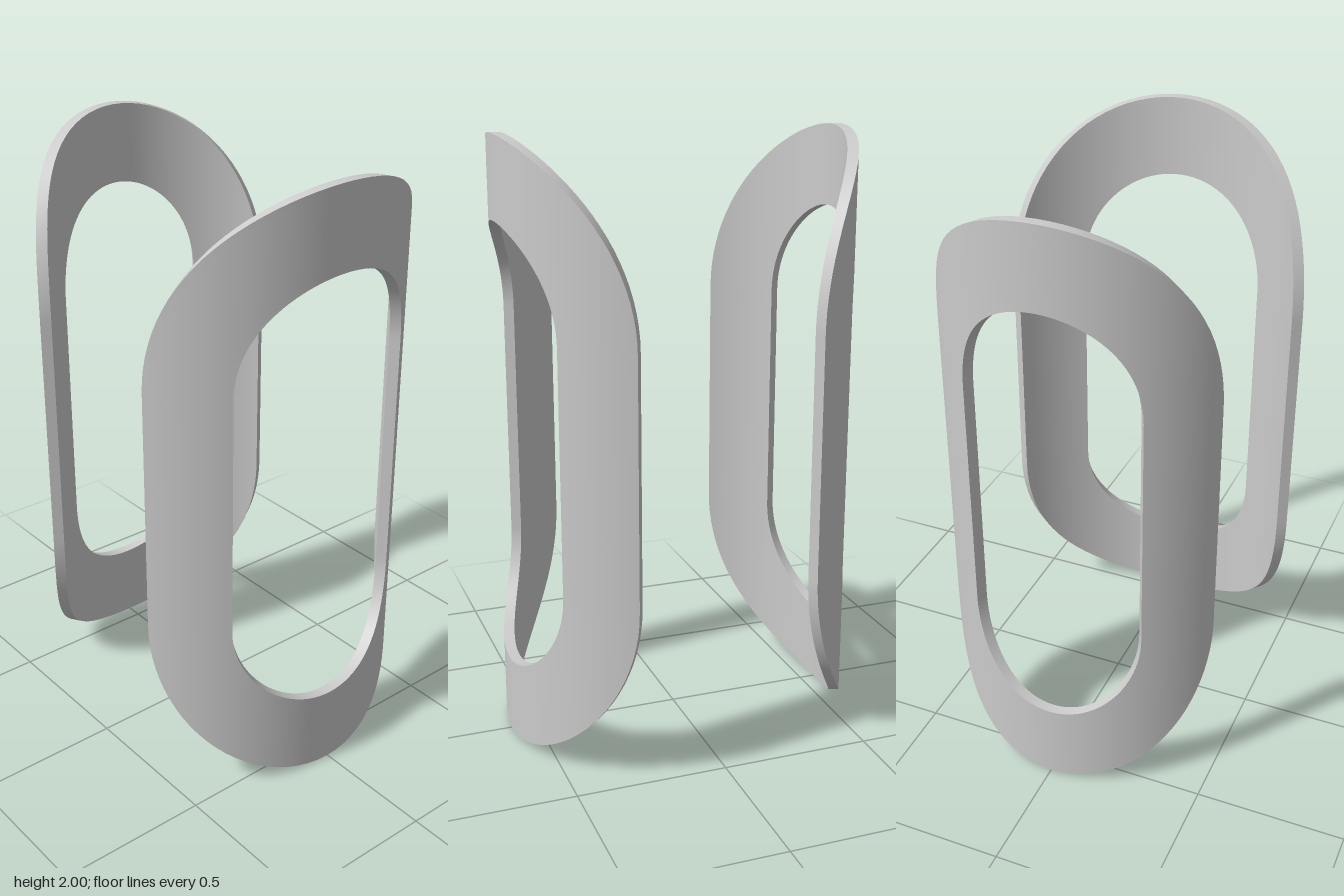
import * as THREE from 'three';

const lerp = THREE.MathUtils.lerp;

// A flat oval ring wrapped around a vertical cylinder.
// radius/thickness: the curved plate; zc: cylinder axis;
// hole/rim: half angles (radians) spanned by the hole and the outer edge.
function curvedOvalRing({ radius, thickness, zc, hole, rim }) {
  const N = 48, straight = 0.4, holeEnd = 0.334, rimEnd = 0.6;
  const inner = radius - thickness;

  // stations around the oval: upper half turn, then lower half turn
  const stations = [];
  for (const side of [1, -1]) {
    for (let i = 0; i <= N; i++) {
      const u = Math.PI * (i / N + (side > 0 ? 0 : 1));
      stations.push({ c: Math.cos(u), s: Math.sin(u), y: 1 + side * straight });
    }
  }

  // cross-section strips [s0, r0, s1, r1, steps]; s runs from hole (0) to rim (1)
  const strips = [
    [0, radius, 1, radius, 16], // convex face
    [1, radius, 1, inner, 1],   // outer edge
    [1, inner, 0, inner, 16],   // concave face
    [0, inner, 0, radius, 1],   // hole wall
  ];

  const positions = [], index = [];
  const M = stations.length;
  for (const [s0, r0, s1, r1, steps] of strips) {
    const base = positions.length / 3, row = steps + 1;
    for (const st of stations) {
      for (let j = 0; j <= steps; j++) {
        const s = lerp(s0, s1, j / steps), r = lerp(r0, r1, j / steps);
        const angle = lerp(hole, rim, s) * st.c;
        positions.push(
          r * Math.sin(angle),
          st.y + lerp(holeEnd, rimEnd, s) * st.s,
          zc + r * Math.cos(angle)
        );
      }
    }
    for (let i = 0; i < M; i++) {
      for (let j = 0; j < steps; j++) {
        const a = base + i * row + j, d = base + ((i + 1) % M) * row + j;
        index.push(a, a + 1, d + 1, a, d + 1, d);
      }
    }
  }
  const geometry = new THREE.BufferGeometry();
  geometry.setAttribute('position', new THREE.Float32BufferAttribute(positions, 3));
  geometry.setIndex(index);
  geometry.computeVertexNormals();
  return geometry;
}

export function createModel() {
  const group = new THREE.Group();
  group.name = 'curvedOvalRings';
  const material = new THREE.MeshStandardMaterial({ color: 0xcccccc });

  // wider ring bulging forward
  const front = new THREE.Mesh(
    curvedOvalRing({ radius: 0.621, thickness: 0.036, zc: -0.033, hole: 0.578, rim: 1.008 }), material);
  front.name = 'frontRing';

  // slightly narrower ring bulging backward
  const back = new THREE.Mesh(
    curvedOvalRing({ radius: 0.55, thickness: 0.036, zc: 0.04, hole: 0.56, rim: 1.026 }), material);
  back.name = 'backRing';
  back.rotation.y = Math.PI;

  group.add(front, back);
  return group;
}
